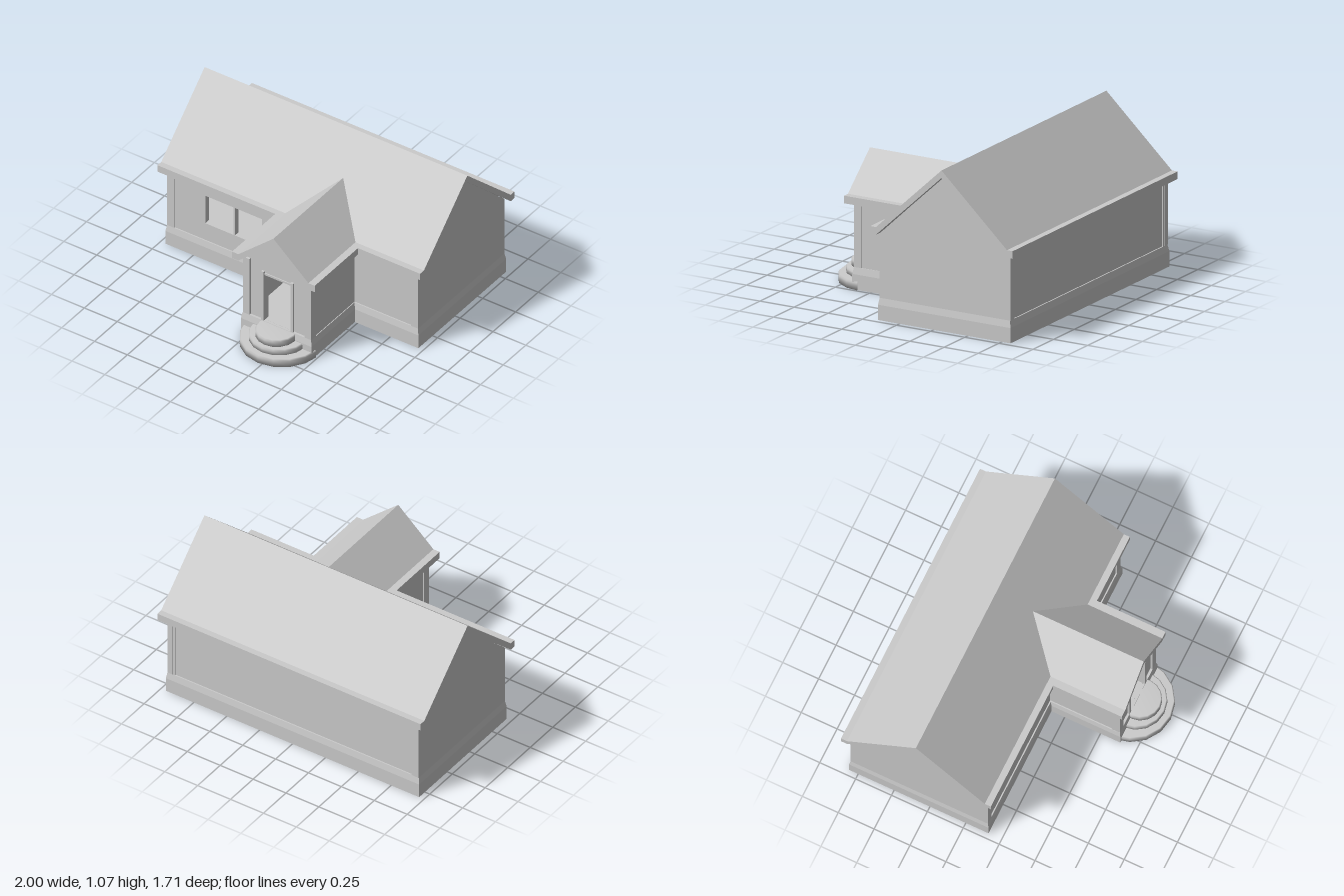
import * as THREE from 'three';

const PLINTH = 0.145, EAVE = 0.57, RIDGE_Z = -0.33, WING_X = 0.212;
const grey = new THREE.MeshStandardMaterial({ color: 0xcccccc, side: THREE.DoubleSide });

export function createModel() {
  const house = new THREE.Group();
  house.name = 'house';

  const add = (name, geometry, x = 0, y = 0, z = 0) => {
    const mesh = new THREE.Mesh(geometry, grey);
    mesh.name = name;
    mesh.position.set(x, y, z);
    house.add(mesh);
    return mesh;
  };
  // Box given by its limits
  const block = (name, x0, x1, y0, y1, z0, z1) =>
    add(name, new THREE.BoxGeometry(x1 - x0, y1 - y0, z1 - z0), (x0 + x1) / 2, (y0 + y1) / 2, (z0 + z1) / 2);
  const outline = (pts) => new THREE.Shape(pts.map(([x, y]) => new THREE.Vector2(x, y)));
  const rect = (x0, x1, y0, y1) => outline([[x0, y0], [x1, y0], [x1, y1], [x0, y1]]);
  const extrude = (shape, depth) => new THREE.ExtrudeGeometry(shape, { depth, bevelEnabled: false });

  // Gable roof slab with a short flat ledge at each eave
  const roofShape = (half, ledge, peak) => outline([
    [ledge, EAVE], [ledge, EAVE + 0.05], [half, EAVE + 0.05], [0, peak], [-half, EAVE + 0.05],
    [-ledge, EAVE + 0.05], [-ledge, EAVE], [-half, EAVE], [0, peak - 0.05], [half, EAVE],
  ]);
  const gableShape = (half, peak) =>
    outline([[-half, PLINTH], [half, PLINTH], [half, EAVE], [0, peak], [-half, EAVE]]);

  // T-shaped plinth, straight below and sloped in at the top
  const plan = (o) => [
    [-0.955 - o, 0.15 + o], [-0.05 - o, 0.15 + o], [-0.05 - o, 0.63 + o], [0.472 + o, 0.63 + o],
    [0.472 + o, 0.15 + o], [0.955 + o, 0.15 + o], [0.955 + o, -0.805 - o], [-0.955 - o, -0.805 - o],
  ];
  const rings = [[0, 0.008], [0.1, 0.008], [PLINTH, 0]];
  const corners = [];
  for (let r = 0; r < 2; r++) {
    const [y0, o0] = rings[r], [y1, o1] = rings[r + 1];
    const low = plan(o0), high = plan(o1);
    low.forEach((p, i) => {
      const j = (i + 1) % low.length;
      const a = [p[0], y0, p[1]], b = [low[j][0], y0, low[j][1]];
      const c = [high[j][0], y1, high[j][1]], d = [high[i][0], y1, high[i][1]];
      corners.push(...a, ...b, ...c, ...a, ...c, ...d);
    });
  }
  const plinth = new THREE.BufferGeometry();
  plinth.setAttribute('position', new THREE.Float32BufferAttribute(corners, 3));
  plinth.computeVertexNormals();
  add('plinth', plinth);
  const slab = (o, turn) => new THREE.ShapeGeometry(outline(plan(o).map(([x, z]) => [x, turn * z]))).rotateX(turn * Math.PI / 2);
  add('underside', slab(0.008, 1));
  add('floor', slab(0, -1), 0, PLINTH, 0);

  // Main front wall with two windows and a passage into the porch
  const front = rect(-0.955, 0.955, PLINTH, EAVE + 0.01);
  front.holes.push(rect(-0.67, -0.455, 0.275, 0.49), rect(-0.445, -0.24, 0.275, 0.49), rect(0, 0.42, 0.15, 0.55));
  add('frontWall', extrude(front, 0.04), 0, 0, 0.102);
  block('backWall', -0.955, 0.955, PLINTH, EAVE + 0.01, -0.797, -0.757);

  // Gable ends and corner posts on both sides
  for (const side of [-1, 1]) {
    const gable = extrude(gableShape(0.477, 1.02), 0.04).rotateY(Math.PI / 2);
    add('gableWall', gable, side > 0 ? 0.915 : -0.955, 0, RIDGE_Z);
    const x0 = side > 0 ? 0.9 : -0.955;
    block('cornerPost', x0, x0 + 0.055, PLINTH, EAVE, 0.1, 0.15);
    block('cornerPost', x0, x0 + 0.055, PLINTH, EAVE, -0.805, -0.755);
  }
  add('mainRoof', extrude(roofShape(0.48, 0.522, 1.067), 2).rotateY(Math.PI / 2), -1, 0, RIDGE_Z);

  // Porch front with doorway
  const porch = gableShape(0.255, 0.805);
  porch.holes.push(rect(0.1 - WING_X, 0.32 - WING_X, PLINTH + 0.001, 0.51));
  add('porchFront', extrude(porch, 0.035), WING_X, 0, 0.58);
  for (const side of [-1, 1]) {
    const wall = WING_X + side * 0.24, post = WING_X + side * 0.235, jamb = WING_X + side * 0.111;
    block('porchSideWall', wall - 0.015, wall + 0.015, PLINTH, EAVE + 0.01, 0.12, 0.6);
    block('porchPost', post - 0.025, post + 0.025, PLINTH, EAVE + 0.01, 0.575, 0.63);
    block('doorJamb', jamb - 0.01, jamb + 0.01, PLINTH, 0.525, 0.575, 0.63);
  }
  block('doorLintel', 0.11, 0.314, 0.498, 0.512, 0.58, 0.622);

  // Porch roof, its rear cut to meet the slope of the main roof
  const porchRoof = extrude(roofShape(0.267, 0.315, 0.855), 0.67);
  const pos = porchRoof.attributes.position;
  for (let i = 0; i < pos.count; i++) {
    if (pos.getZ(i) < 0.1) pos.setZ(i, 0.15 - Math.max(0, pos.getY(i) - 0.62) * 1.07);
  }
  porchRoof.computeVertexNormals();
  add('porchRoof', porchRoof, WING_X, 0, 0);

  // Three rounded entrance steps
  for (const [radius, y0, y1, z] of [[0.27, 0, 0.055, 0.585], [0.195, 0.05, 0.095, 0.615], [0.135, 0.09, 0.142, 0.645]]) {
    const profile = [[0, y0], [radius, y0], [radius, y1 - 0.01], [radius - 0.008, y1], [0, y1]];
    const step = new THREE.LatheGeometry(profile.map(([x, y]) => new THREE.Vector2(x, y)), 16);
    // Keep the rear half tucked under the floor
    const p = step.attributes.position;
    for (let i = 0; i < p.count; i++) p.setZ(i, Math.max(p.getZ(i), 0.6 - z));
    add('entranceStep', step, 0.22, 0, z);
  }

  return house;
}
